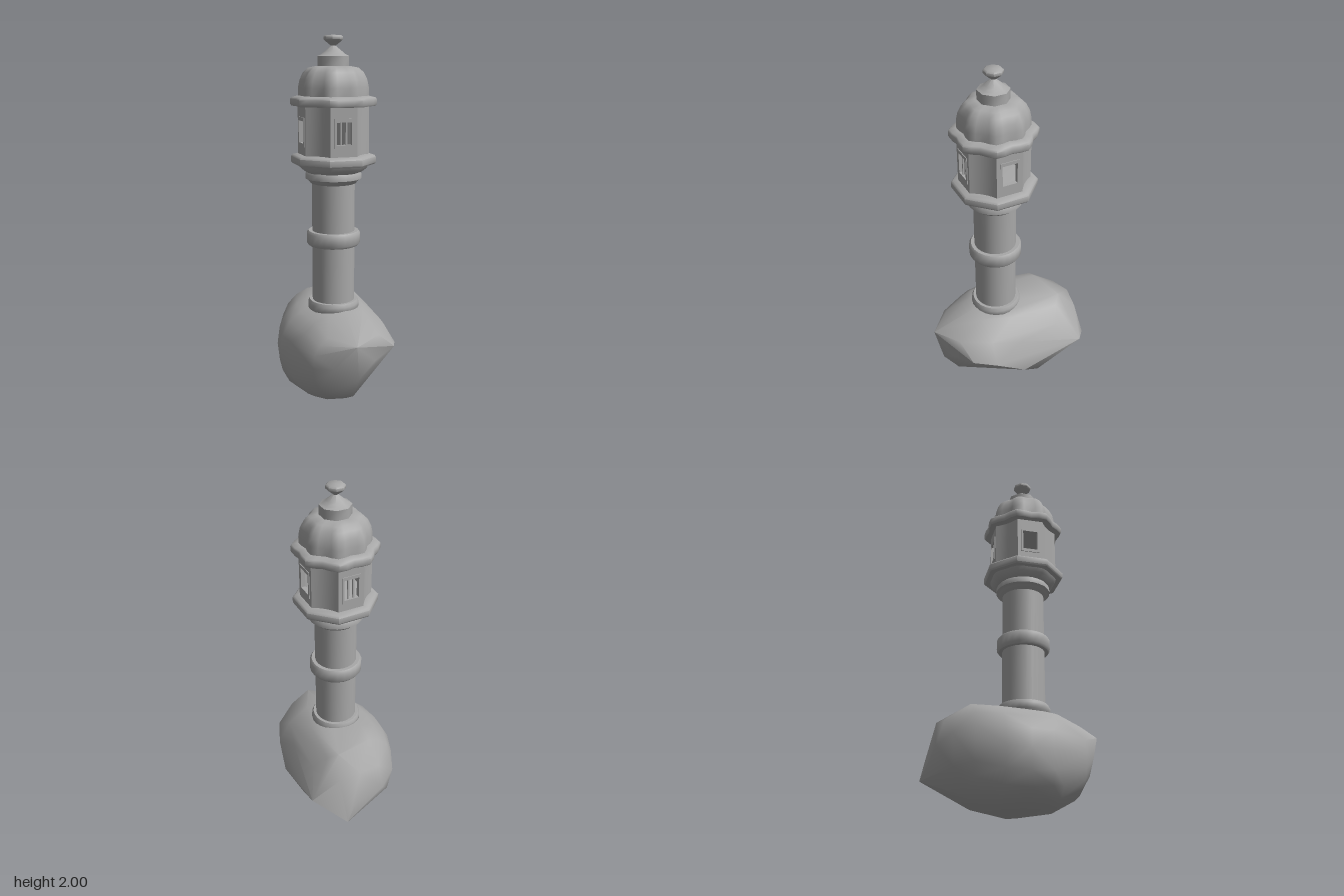
import * as THREE from 'three';
import { toCreasedNormals } from 'three/addons/utils/BufferGeometryUtils.js';
import { ConvexGeometry } from 'three/addons/geometries/ConvexGeometry.js';

const stone = new THREE.MeshStandardMaterial({ color: 0xa8a8a8, side: THREE.DoubleSide });
stone.name = 'grey stone';

function add(parent, name, geometry) {
  const mesh = new THREE.Mesh(geometry, stone);
  mesh.name = name;
  parent.add(mesh);
  return mesh;
}

// Upright part from [radius, y] points; wave swells the eight corners
function turned(parent, name, profile, sides = 24, wave = 0) {
  const pos = [], idx = [];
  profile.forEach(([r, y], i) => {
    for (let j = 0; j < sides; j++) {
      const angle = (j / sides) * Math.PI * 2 + Math.PI / 8;
      const q = r * (1 - wave * Math.cos(8 * angle));
      pos.push(q * Math.sin(angle), y, q * Math.cos(angle));
      if (i === profile.length - 1) continue;
      const a = i * sides + j, b = i * sides + (j + 1) % sides;
      idx.push(a, b, b + sides, a, b + sides, a + sides);
    }
  });
  const g = new THREE.BufferGeometry();
  g.setAttribute('position', new THREE.Float32BufferAttribute(pos, 3));
  g.setIndex(idx);
  return add(parent, name, toCreasedNormals(g, 0.9));
}

function rectangle(w, h, target = new THREE.Shape()) {
  target.moveTo(-w / 2, -h / 2);
  target.lineTo(w / 2, -h / 2);
  target.lineTo(w / 2, h / 2);
  target.lineTo(-w / 2, h / 2);
  target.closePath();
  return target;
}

// Rectangular panel with a window opening
function panel(w, h, depth, holeW, holeH) {
  const s = rectangle(w, h);
  s.holes.push(rectangle(holeW, holeH, new THREE.Path()));
  return new THREE.ExtrudeGeometry(s, { depth, bevelEnabled: false });
}

// Boulder: the hull of a rounded left flank and a few chipped corners
function buildRock() {
  const points = [];
  // Left flank: z, left edge, bottom, top
  const flank = [
    [-0.24, -0.25, 0.06, 0.56], [-0.1, -0.31, 0.01, 0.555], [0.02, -0.325, 0, 0.55],
    [0.14, -0.305, 0.02, 0.545], [0.2, -0.275, 0.03, 0.54], [0.325, -0.225, 0.1, 0.485],
  ];
  for (const [z, left, y0, y1] of flank) {
    for (let j = 0; j <= 10; j++) {
      const a = (j / 10) * Math.PI, e = j > 5 ? 0.8 : 0.88;
      const s = Math.cos(a);
      points.push(new THREE.Vector3(
        left * Math.sin(a) ** e,
        (y0 + y1) / 2 + (y1 - y0) / 2 * Math.sign(s) * Math.abs(s) ** e, z));
    }
  }
  const frontCorners = [
    [-0.025, 0.435, 0.455], [0, 0.235, 0.415], [-0.13, 0.3, 0.395], [0.1, 0.32, 0.39],
    [0.235, 0.36, 0.325], [0.13, 0.45, 0.36],
  ];
  const rightCorners = [
    [0.29, 0.33, 0.2], [0.22, 0.45, 0.2], [0.1, 0.53, 0.2],
    [0.325, 0.25, 0.04], [0.26, 0.42, 0.04], [0.15, 0.52, 0.04],
    [0.265, 0.14, -0.08], [0.055, 0.005, -0.02], [0.25, 0.45, -0.2], [0.18, 0.525, -0.24],
    [0.13, 0.56, -0.28],
  ];
  const backCorners = [
    [0.32, 0.33, -0.33], [0.05, 0.48, -0.395], [0.17, 0.46, -0.375], [0.1, 0.3, -0.435],
    [0.16, 0.195, -0.455], [-0.09, 0.32, -0.41], [-0.08, 0.46, -0.37], [-0.19, 0.36, -0.345],
    [-0.17, 0.2, -0.33], [0.1, 0.05, -0.2],
  ];
  for (const c of [...frontCorners, ...rightCorners, ...backCorners]) points.push(new THREE.Vector3(...c));
  return toCreasedNormals(new ConvexGeometry(points), 0.9);
}

function buildLantern(tower) {
  const apothem = 0.175, width = 2 * apothem * Math.tan(Math.PI / 8);
  const height = 0.28, midY = 1.507, winW = 0.083, winH = 0.115;
  for (let k = 0; k < 8; k++) {
    const side = new THREE.Group();
    side.rotation.y = k * Math.PI / 4;
    side.position.y = midY;
    tower.add(side);
    if (k % 2) {
      // Diagonal walls curve gently inwards
      side.name = 'plainWall';
      const g = new THREE.PlaneGeometry(width, height, 6, 1);
      const p = g.attributes.position;
      for (let i = 0; i < p.count; i++) {
        p.setZ(i, apothem - 0.01 * (1 - (2 * p.getX(i) / width) ** 2));
      }
      g.computeVertexNormals();
      add(side, 'curvedPanel', g);
      continue;
    }
    // Windows face the four main directions
    side.name = 'windowWall';
    add(side, 'piercedWall', panel(width, height, 0.02, winW, winH)).position.z = apothem - 0.02;
    add(side, 'windowFrame', panel(0.106, 0.152, 0.012, winW, winH)).position.z = apothem - 0.008;
    // Bars fill the front and back windows only
    if (k % 4 === 0) {
      for (const x of [-0.0145, 0.0145]) {
        add(side, 'windowBar', new THREE.BoxGeometry(0.009, winH, 0.009)).position.set(x, 0, apothem - 0.008);
      }
    }
  }
}

export function createModel() {
  const model = new THREE.Group();
  model.name = 'rockTower';
  add(model, 'rock', buildRock());

  const tower = new THREE.Group();
  tower.name = 'tower';
  tower.position.set(-0.023, 0, 0.055);
  model.add(tower);

  // Shaft and its rings
  turned(tower, 'shaft', [[0.116, 0.4], [0.116, 1.26]]);
  turned(tower, 'baseRing', [[0.11, 0.5], [0.141, 0.53], [0.141, 0.56], [0.132, 0.577], [0.11, 0.577]]);
  turned(tower, 'middleRing', [[0.11, 0.889], [0.136, 0.889], [0.146, 0.902], [0.146, 0.955], [0.136, 0.968], [0.11, 0.968]]);
  turned(tower, 'neckRing', [[0.11, 1.225], [0.123, 1.23], [0.134, 1.245], [0.151, 1.255], [0.151, 1.28], [0.142, 1.293], [0.11, 1.293]]);

  // Lantern room between two eight-sided ledges
  turned(tower, 'lanternBracket', [[0.12, 1.283], [0.15, 1.292], [0.175, 1.312], [0.187, 1.34]], 32, 0.03);
  turned(tower, 'lowerLedge', [[0, 1.334], [0.222, 1.334], [0.228, 1.342], [0.228, 1.372], [0.218, 1.382], [0.18, 1.388], [0, 1.388]], 8);
  buildLantern(tower);
  turned(tower, 'upperLedge', [[0, 1.64], [0.212, 1.64], [0.217, 1.648], [0.217, 1.675], [0.21, 1.684], [0.178, 1.692], [0, 1.692]], 32, 0.055);

  // Ribbed dome and finial
  turned(tower, 'dome', [[0.176, 1.68], [0.176, 1.735], [0.168, 1.775], [0.15, 1.812], [0.127, 1.835], [0.09, 1.843], [0, 1.843]], 32, 0.06);
  turned(tower, 'domeCollar', [[0.083, 1.835], [0.083, 1.895], [0.065, 1.903], [0.047, 1.918], [0.01, 1.948]], 8);
  turned(tower, 'finialKnob', [[0.01, 1.945], [0.042, 1.97], [0.051, 1.978], [0.051, 1.992], [0.042, 2.0], [0, 2.0]], 8);

  return model;
}
